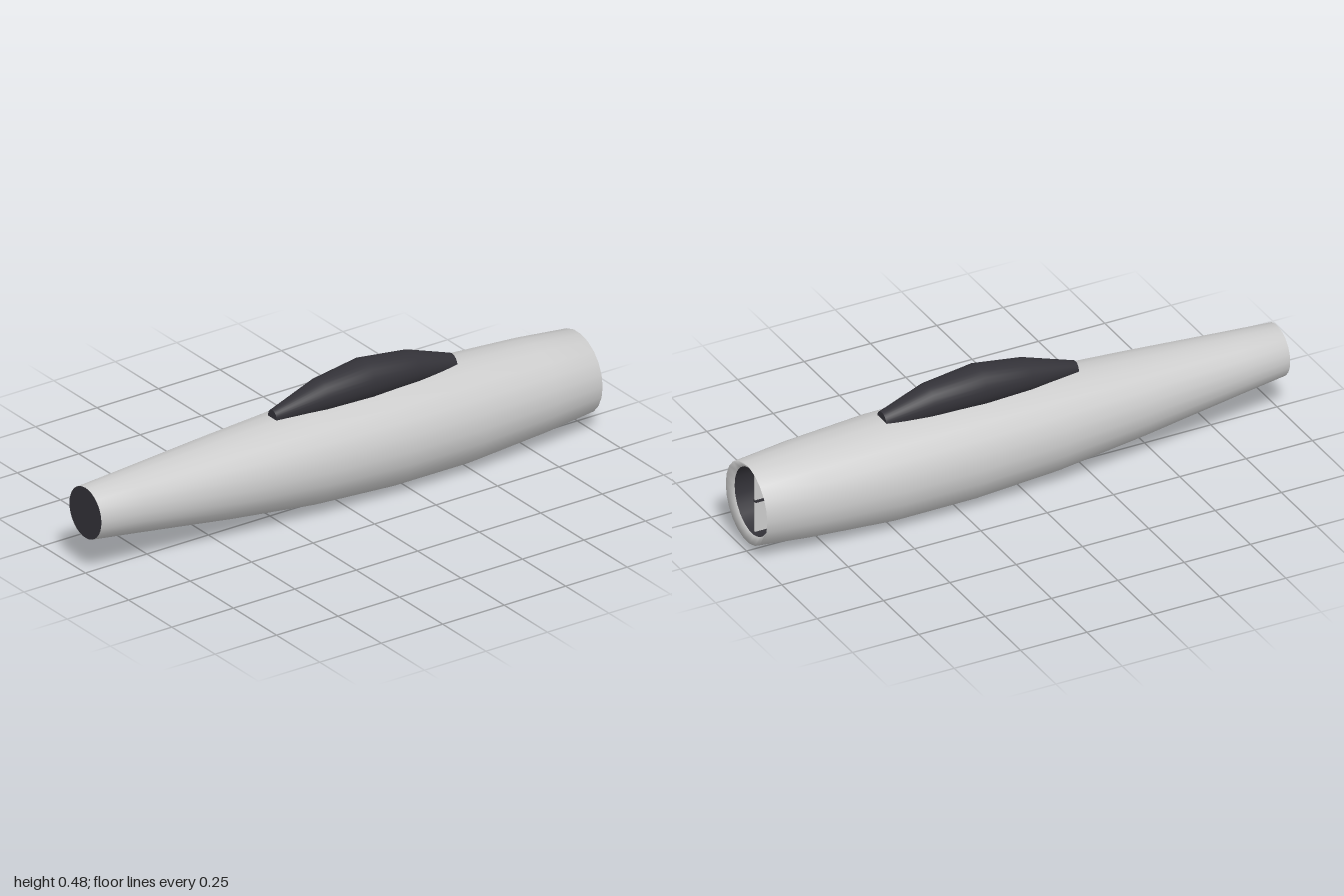
import * as THREE from 'three';

// Skin of circular rings [z, centre height, radius], listed from front to back.
function loft(rings, sides, capped) {
  const pos = [], idx = [];
  for (const [z, cy, r] of rings) {
    for (let i = 0; i < sides; i++) {
      const a = (i / sides) * Math.PI * 2;
      pos.push(Math.cos(a) * r, cy + Math.sin(a) * r, z);
    }
  }
  for (let k = 0; k < rings.length - 1; k++) {
    for (let i = 0; i < sides; i++) {
      const a = k * sides + i, b = k * sides + (i + 1) % sides;
      const c = a + sides, d = b + sides;
      idx.push(a, c, b, b, c, d);
    }
  }
  if (capped) {
    // end caps use their own vertices to keep a sharp edge
    [0, rings.length - 1].forEach((k, end) => {
      const base = pos.length / 3;
      for (let i = 0; i < sides; i++) {
        const o = (k * sides + i) * 3;
        pos.push(pos[o], pos[o + 1], pos[o + 2]);
      }
      for (let i = 1; i < sides - 1; i++) {
        if (end === 0) idx.push(base, base + i, base + i + 1);
        else idx.push(base, base + i + 1, base + i);
      }
    });
  }
  const geo = new THREE.BufferGeometry();
  geo.setAttribute('position', new THREE.Float32BufferAttribute(pos, 3));
  geo.setIndex(idx);
  geo.computeVertexNormals();
  return geo;
}

export function createModel() {
  const group = new THREE.Group();
  const grey = new THREE.MeshStandardMaterial({ color: 0xcccccc });
  const dark = new THREE.MeshStandardMaterial({ color: 0x333238 });
  const darkInside = new THREE.MeshStandardMaterial({ color: 0x333238, side: THREE.BackSide });
  const add = (name, geo, mat, x = 0, y = 0, z = 0) => {
    const mesh = new THREE.Mesh(geo, mat);
    mesh.name = name;
    mesh.position.set(x, y, z);
    group.add(mesh);
    return mesh;
  };

  // Fuselage, with rounded lips turned inward at both ends
  add('fuselage', loft([
    [0.99, 0.228, 0.075],
    [1.0, 0.228, 0.093],
    [0.83, 0.222, 0.109],
    [0.45, 0.208, 0.147],
    [0.12, 0.198, 0.175],
    [-0.2, 0.191, 0.187],
    [-0.5, 0.189, 0.186],
    [-0.8, 0.19, 0.167],
    [-1.0, 0.19, 0.147],
    [-0.98, 0.19, 0.122],
  ], 22), grey);

  // Dark intake disc on the nose
  add('noseIntake', new THREE.CircleGeometry(0.0925, 32), dark, 0, 0.228, 1.0);

  // Canopy, a faceted spindle sunk into the back of the hull
  add('canopy', loft([
    [0.24, 0.37, 0.024],
    [0.05, 0.395, 0.06],
    [-0.13, 0.406, 0.074],
    [-0.32, 0.395, 0.062],
    [-0.49, 0.366, 0.033],
  ], 32, true), dark);

  // Exhaust duct seen through the tail opening
  add('exhaustDuct', loft([
    [-0.68, 0.19, 0.122],
    [-0.98, 0.19, 0.122],
  ], 22, false), darkInside);
  add('exhaustBack', new THREE.CircleGeometry(0.122, 22), dark, 0, 0.19, -0.68).rotation.y = Math.PI;

  // Upright vane with a thin bar along its middle
  add('exhaustVane', new THREE.BoxGeometry(0.006, 0.236, 0.28), grey, 0, 0.19, -0.83);
  add('exhaustBar', new THREE.BoxGeometry(0.016, 0.008, 0.28), dark, 0, 0.19, -0.83);

  return group;
}
